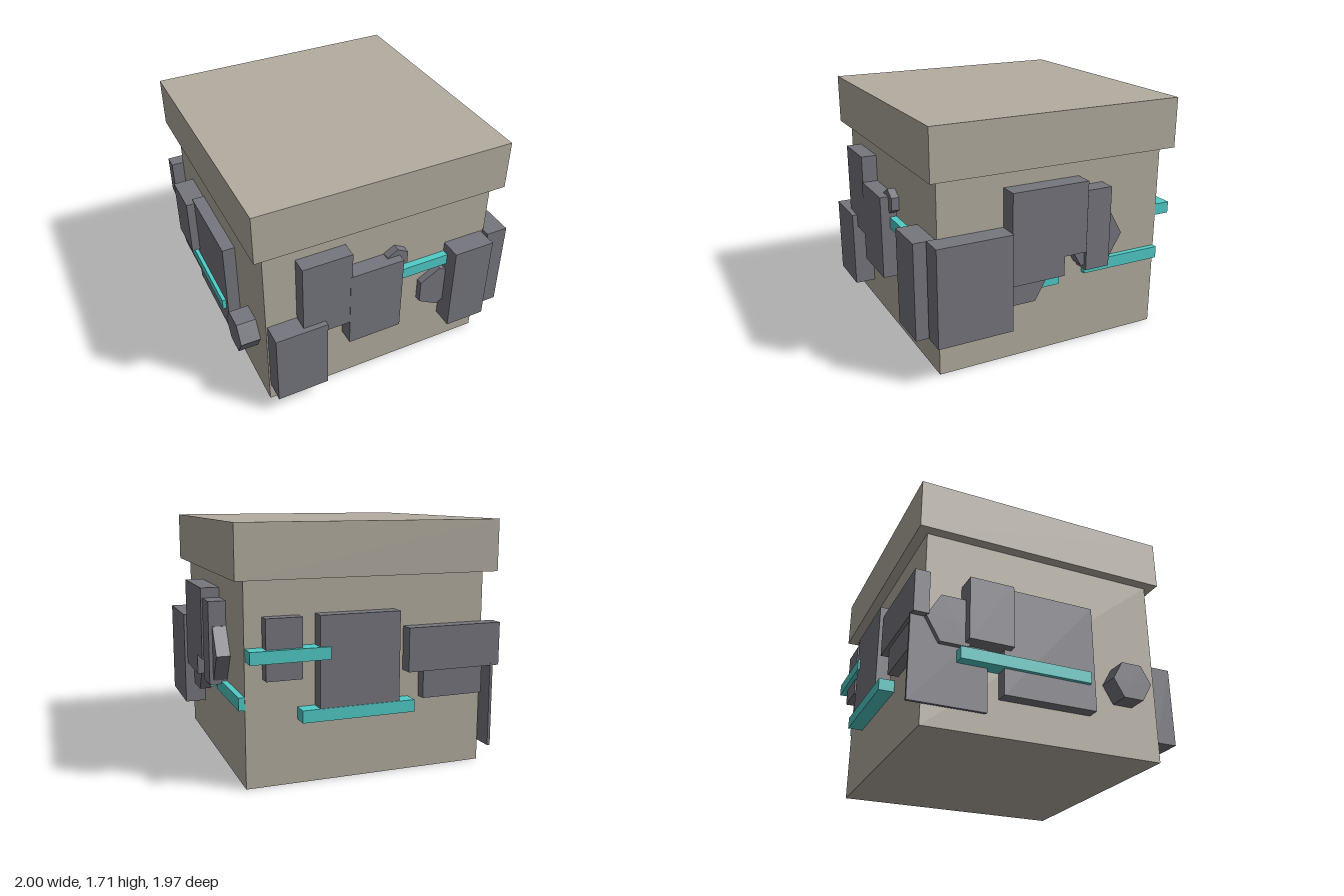
import * as THREE from 'three';

export function createModel() {
  const root = new THREE.Group();
  root.name = 'panelledCrate';

  const material = (name, color) => {
    const m = new THREE.MeshStandardMaterial({ color });
    m.name = name;
    return m;
  };
  const stone = material('warm stone', 0xb4ada0);
  const metal = material('grey metal', 0x76767e);
  const glow = material('turquoise', 0x50ccc8);

  const add = (parent, name, geometry, mat) => {
    const mesh = new THREE.Mesh(geometry, mat);
    mesh.name = name;
    parent.add(mesh);
    return mesh;
  };
  // Box given by its limits on each axis
  const box = (parent, name, mat, [x0, x1], [y0, y1], [z0, z1]) =>
    add(parent, name, new THREE.BoxGeometry(x1 - x0, y1 - y0, z1 - z0), mat)
      .position.set((x0 + x1) / 2, (y0 + y1) / 2, (z0 + z1) / 2);
  // Faceted six-sided bolt, lying along x or z
  const hex = (parent, name, axis, radius, depth, x, y, z) => {
    let g = new THREE.CylinderGeometry(radius, radius, depth, 6);
    if (axis === 'x') g.rotateZ(Math.PI / 2);
    else g.rotateX(Math.PI / 2);
    g = g.toNonIndexed();
    g.computeVertexNormals();
    add(parent, name, g, metal).position.set(x, y, z);
  };
  const side = (name) => {
    const g = new THREE.Group();
    g.name = name;
    root.add(g);
    return g;
  };

  // Crate and lid
  box(root, 'body', stone, [-0.85, 0.85], [0, 1.36], [-0.87, 0.835]);
  box(root, 'lid', stone, [-0.923, 0.92], [1.355, 1.71], [-0.942, 0.9]);

  // Front: plates run from the wall outward
  const front = side('frontDetails');
  [
    [[-0.625, -0.267], [0.62, 1.227], 0.947],
    [[-0.28, 0.12], [0.425, 1.033], 0.95],
    [[-0.84, -0.463], [0.147, 0.715], 0.985],
    [[0.52, 0.825], [0.275, 0.955], 0.987],
  ].forEach(([x, y, z]) => box(front, 'frontPlate', metal, x, y, [0.825, z]));
  hex(front, 'frontSmallBolt', 'z', 0.092, 0.07, 0.105, 0.993, 0.855);
  hex(front, 'frontLargeBolt', 'z', 0.173, 0.08, 0.47, 0.598, 0.845);
  box(front, 'frontStrip', glow, [-0.1, 0.6], [0.797, 0.88], [0.825, 0.885]);

  // +x wall
  const left = side('leftDetails');
  [
    [1.0, [0.28, 0.965], [0.368, 0.903]],
    [0.98, [0.73, 1.235], [-0.2, 0.366]],
    [0.98, [0.59, 0.73], [-0.03, 0.366]],
    [0.97, [0.59, 1.165], [-0.392, -0.207]],
  ].forEach(([x, y, z]) => box(left, 'leftPlate', metal, [0.84, x], y, z));
  hex(left, 'leftLowerBolt', 'x', 0.25, 0.09, 0.885, 0.642, 0.29);
  hex(left, 'leftUpperBolt', 'x', 0.215, 0.105, 0.8925, 0.806, -0.29);
  box(left, 'leftLongStrip', glow, [0.84, 0.89], [0.525, 0.61], [-0.868, -0.25]);
  box(left, 'leftShortStrip', glow, [0.84, 0.89], [0.49, 0.575], [-0.045, 0.3]);

  // -x wall
  const right = side('rightDetails');
  box(right, 'rightTallPlate', metal, [-1.0, -0.84], [0.56, 1.0], [-0.618, -0.31]);
  box(right, 'rightWidePlate', metal, [-0.94, -0.84], [0.25, 1.01], [-0.355, 0.305]);
  box(right, 'rightThinPlate', metal, [-0.893, -0.872], [0.13, 0.72], [-0.972, -0.45]);
  hex(right, 'rightFrontBolt', 'x', 0.147, 0.15, -0.917, 0.492, 0.565);
  hex(right, 'rightBackBolt', 'x', 0.19, 0.09, -0.885, 0.7, -0.69);
  box(right, 'rightStrip', glow, [-0.967, -0.84], [0.43, 0.513], [-0.66, 0.262]);

  // Back wall
  const back = side('backDetails');
  [
    [[-0.18, 0.38], [0.45, 1.125], -0.973],
    [[0.49, 0.733], [0.72, 1.12], -0.957],
    [[-0.94, -0.25], [0.705, 1.005], -0.968],
    [[-0.82, -0.37], [0.513, 0.85], -0.945],
  ].forEach(([x, y, z]) => box(back, 'backPlate', metal, x, y, [z, -0.865]));
  box(back, 'backUpperStrip', glow, [0.31, 0.845], [0.84, 0.923], [-0.988, -0.865]);
  box(back, 'backLowerStrip', glow, [-0.29, 0.5], [0.435, 0.518], [-0.978, -0.865]);

  return root;
}
